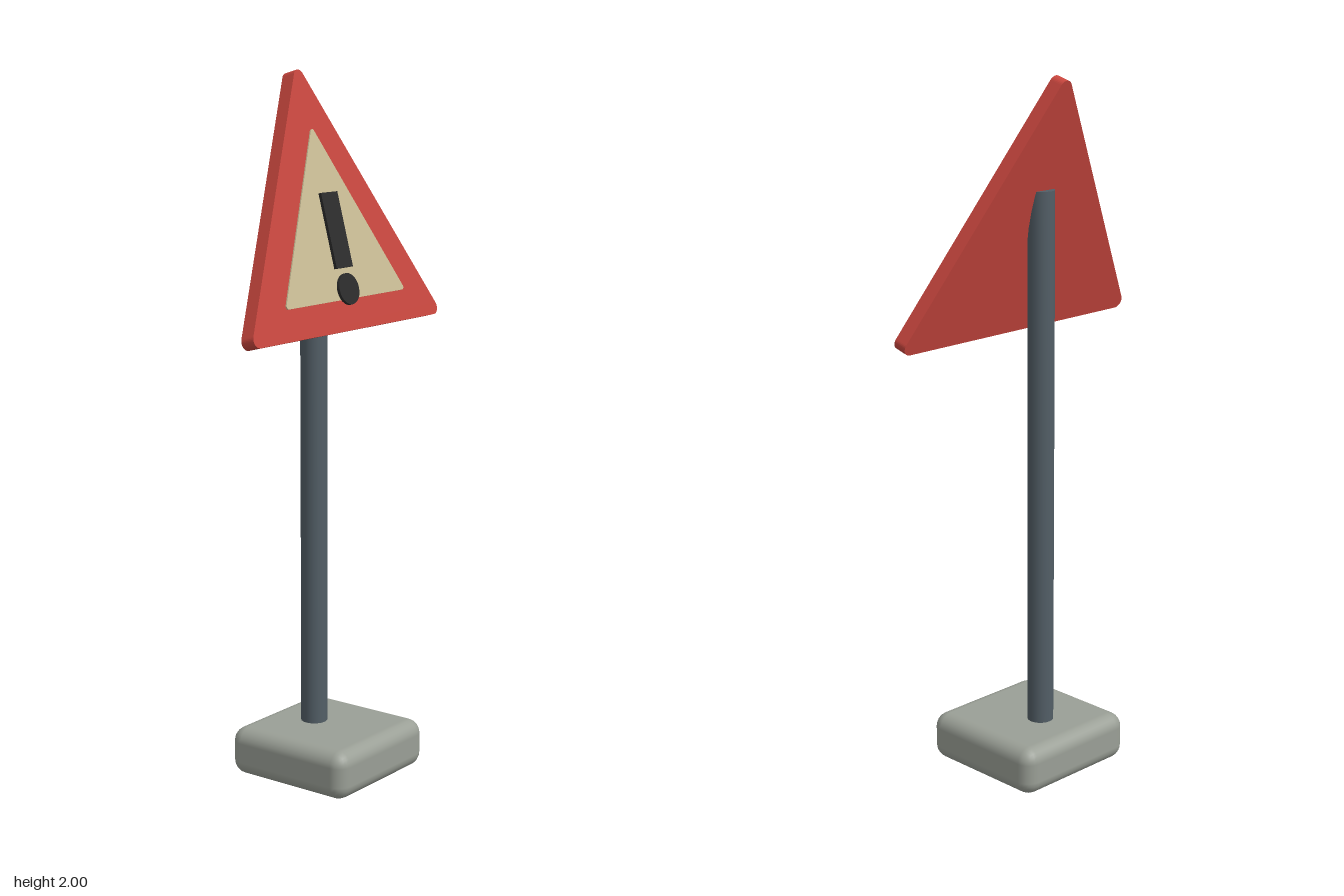
import * as THREE from 'three';
import { RoundedBoxGeometry } from 'three/addons/geometries/RoundedBoxGeometry.js';

const mat = (color) => new THREE.MeshStandardMaterial({ color });

function addPart(parent, name, geometry, material, x, y, z) {
  const mesh = new THREE.Mesh(geometry, material);
  mesh.name = name;
  mesh.position.set(x, y, z);
  parent.add(mesh);
  return mesh;
}

// Triangular plate with rounded corners, standing on y = 0, back at z = 0
function trianglePlate(halfWidth, height, radius, depth) {
  const cx = halfWidth - radius;
  const normal = Math.atan2(cx, height - 2 * radius);
  const shape = new THREE.Shape();
  shape.absarc(cx, radius, radius, -Math.PI / 2, normal, false);
  shape.absarc(0, height - radius, radius, normal, Math.PI - normal, false);
  shape.absarc(-cx, radius, radius, Math.PI - normal, Math.PI * 1.5, false);
  shape.closePath();
  return new THREE.ExtrudeGeometry(shape, { depth, bevelEnabled: false, curveSegments: 6 });
}

export function createModel() {
  const model = new THREE.Group();
  model.name = 'warningSign';
  const dark = mat(0x2b2b2b);

  // Heavy foot
  addPart(model, 'base', new RoundedBoxGeometry(0.406, 0.14, 0.406, 3, 0.042), mat(0x9a9f96), 0, 0.07, 0);

  // Post, its top front cut on a slant so that it ends inside the plate
  const poleZ = -0.049, poleBottom = 0.1, poleTop = 1.69;
  const height = poleTop - poleBottom;
  const pole = new THREE.CylinderGeometry(0.038, 0.038, height, 20);
  pole.translate(0, height / 2, 0);
  const p = pole.attributes.position;
  for (let i = 0; i < p.count; i++) {
    if (p.getY(i) < height / 2) continue;
    const plateY = 1.295 + (0.064 - (p.getZ(i) + poleZ)) / 0.268;
    p.setY(i, Math.min(poleTop, plateY) - poleBottom);
  }
  addPart(model, 'pole', pole, mat(0x525e66), 0, poleBottom, poleZ);

  // Leaning sign head, its origin on the lower front edge
  const head = new THREE.Group();
  head.name = 'signHead';
  head.position.set(0, 1.295, 0.085);
  head.rotation.x = -THREE.MathUtils.degToRad(15);
  model.add(head);

  addPart(head, 'redPlate', trianglePlate(0.422, 0.73, 0.022, 0.042), mat(0xc8463e), 0, 0, -0.042);
  addPart(head, 'innerPanel', trianglePlate(0.268, 0.476, 0.008, 0.004), mat(0xcabd95), 0, 0.086, 0.003);

  // Exclamation mark
  addPart(head, 'markBar', new THREE.BoxGeometry(0.074, 0.211, 0.009), dark, 0, 0.278, 0.0155);
  const dot = new THREE.CylinderGeometry(0.044, 0.044, 0.009, 24);
  dot.rotateX(Math.PI / 2);
  addPart(head, 'markDot', dot, dark, 0, 0.113, 0.0155);

  return model;
}
